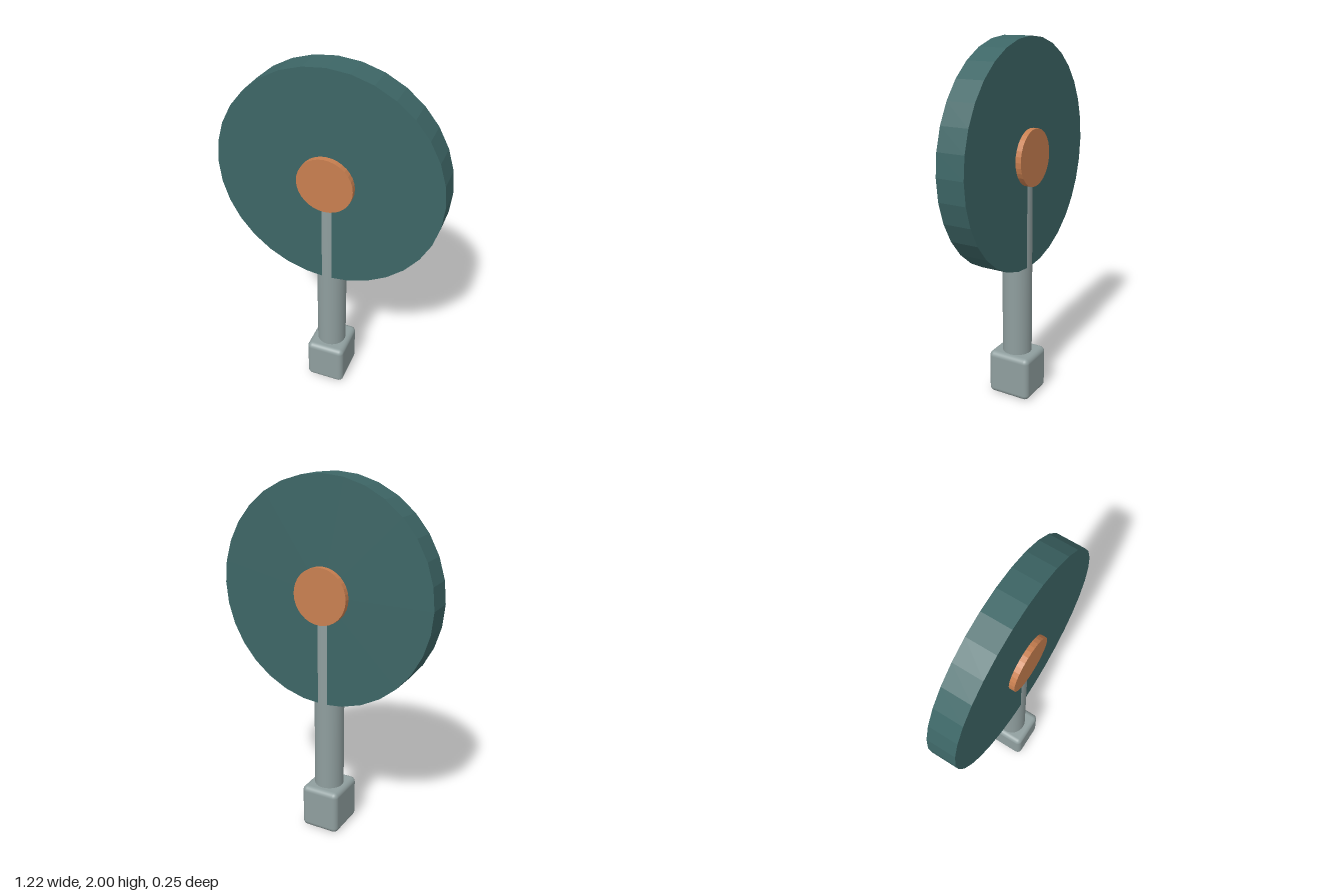
import * as THREE from 'three';
import { RoundedBoxGeometry } from 'three/addons/geometries/RoundedBoxGeometry.js';

const material = (name, color, flatShading = false) => {
  const m = new THREE.MeshStandardMaterial({ color, flatShading });
  m.name = name;
  return m;
};

export function createModel() {
  const model = new THREE.Group();
  model.name = 'discOnHandle';

  const teal = material('teal', 0x3d6666, true);
  const copper = material('copper', 0xc87f50, true);
  const grey = material('grey', 0x8f9e9e);

  const add = (name, geometry, mat, y) => {
    const mesh = new THREE.Mesh(geometry, mat);
    mesh.name = name;
    mesh.position.y = y;
    model.add(mesh);
  };
  // Faceted round plate facing front and back
  const plate = (radius, depth) =>
    new THREE.CylinderGeometry(radius, radius, depth, 32).rotateX(Math.PI / 2);

  const centreY = 1.388;
  add('disc', plate(0.612, 0.155), teal, centreY);
  add('hub', plate(0.153, 0.218), copper, centreY);

  // Shaft ends inside the hub and shows as a narrow rib on both disc faces
  const bottom = 0.13, top = 1.38;
  add('handle', new THREE.CylinderGeometry(0.083, 0.083, top - bottom, 32), grey, (bottom + top) / 2);

  // Soft-edged block at the foot
  add('pommel', new RoundedBoxGeometry(0.226, 0.257, 0.254, 4, 0.03), grey, 0.1285);

  return model;
}
